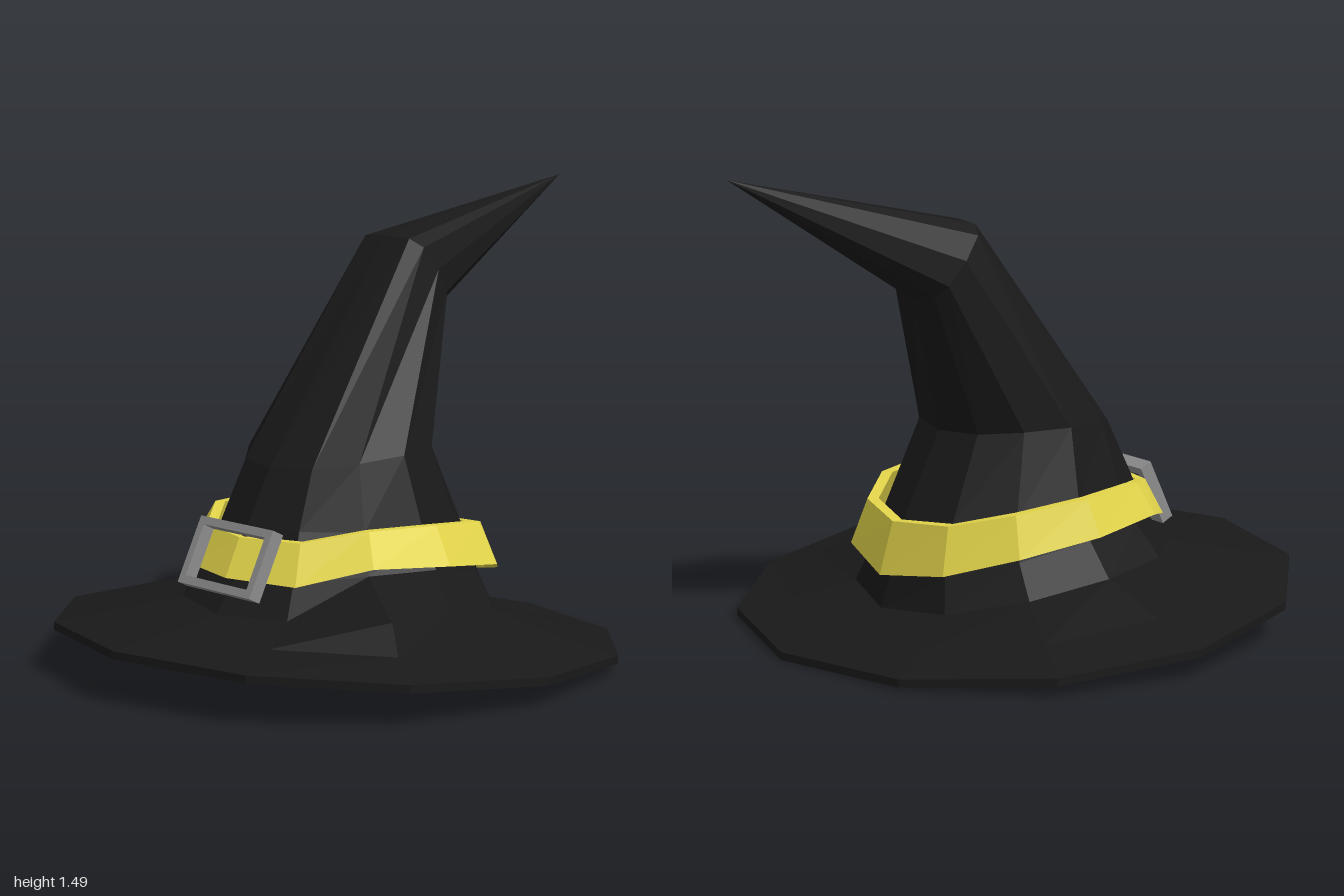
import * as THREE from 'three';

const SIDES = 12;
const mat = (color) => new THREE.MeshStandardMaterial({ color, flatShading: true });

// Ring of points given by its front [z, y], back [z, y], centre x, half width,
// side lift and roundness (1 is an ellipse, lower is boxier).
function ring([fz, fy], [bz, by], cx, rx, lift = 0, round = 1) {
  const soften = (v) => Math.sign(v) * Math.abs(v) ** round;
  return Array.from({ length: SIDES }, (_, k) => {
    const a = (k / SIDES) * Math.PI * 2;
    const s = soften(Math.sin(a)), c = soften(Math.cos(a));
    return new THREE.Vector3(
      cx + rx * s,
      (fy + by) / 2 + ((fy - by) / 2) * c + lift * s * s,
      (fz + bz) / 2 + ((fz - bz) / 2) * c
    );
  });
}

// Skin over successive rings.
function loft(rings) {
  const pos = [];
  const tri = (a, b, c) => {
    if (a.distanceTo(b) < 1e-5 || b.distanceTo(c) < 1e-5 || c.distanceTo(a) < 1e-5) return;
    for (const p of [a, b, c]) pos.push(p.x, p.y, p.z);
  };
  for (let i = 0; i + 1 < rings.length; i++) {
    const a = rings[i], b = rings[i + 1];
    for (let k = 0; k < SIDES; k++) {
      const n = (k + 1) % SIDES;
      tri(a[k], a[n], b[n]);
      tri(a[k], b[n], b[k]);
    }
  }
  const g = new THREE.BufferGeometry();
  g.setAttribute('position', new THREE.Float32BufferAttribute(pos, 3));
  g.computeVertexNormals();
  return g;
}

function makeHat() {
  // dent pushed out on the left front, inside and out
  const dent = (pts, x, y, z) => {
    pts[2].add(new THREE.Vector3(x, y, z));
    return pts;
  };
  return loft([
    // hollow inside, from its top down
    ring([-0.5, 1.32], [-0.5, 1.32], -0.08, 0),
    ring([-0.21, 1.27], [-0.35, 1.09], -0.1, 0.135, 0.01, 0.65),
    ring([0.32, 0.62], [-0.215, 0.64], -0.035, 0.27, 0.03, 0.92),
    ring([0.425, 0.44], [-0.345, 0.37], -0.03, 0.335, 0.02),
    ring([0.495, 0.28], [-0.39, 0.18], -0.015, 0.39, 0.08),
    dent(ring([0.575, 0.185], [-0.415, 0.08], 0, 0.465, 0.06), 0.12, 0.02, 0.05),
    // brim: underside, rim, top
    ring([0.76, 0.14], [-0.61, 0.035], 0, 0.67, 0.01),
    ring([1.0, 0.138], [-0.81, 0], 0, 0.91),
    ring([1.0, 0.163], [-0.81, 0.025], 0, 0.91),
    dent(ring([0.8, 0.185], [-0.63, 0.05], 0, 0.72, 0.025), 0.03, 0, 0.02),
    dent(ring([0.6, 0.21], [-0.44, 0.1], 0, 0.49, 0.06), 0.14, 0.02, 0.06),
    // crown up to the bent tip
    ring([0.52, 0.3], [-0.415, 0.2], -0.015, 0.415, 0.08),
    ring([0.45, 0.46], [-0.37, 0.38], -0.03, 0.36, 0.02),
    ring([0.35, 0.63], [-0.24, 0.65], -0.035, 0.295, 0.03, 0.92),
    ring([-0.21, 1.32], [-0.38, 1.09], -0.1, 0.16, 0.01, 0.65),
    ring([-1, 1.49], [-1, 1.49], -0.06, 0),
  ]);
}

function makeBand() {
  // heights from front to back
  const low = [0.315, 0.315, 0.37, 0.35, 0.31, 0.25, 0.21];
  const high = [0.43, 0.435, 0.47, 0.465, 0.44, 0.4, 0.38];
  const edge = (f, b, cx, rx, ys) => {
    const pts = ring([f, 0], [b, 0], cx, rx, 0, 0.9);
    pts.forEach((p, k) => { p.y = ys[Math.min(k, SIDES - k)]; });
    return pts;
  };
  const outerLow = edge(0.555, -0.45, -0.01, 0.47, low);
  return loft([
    outerLow,
    edge(0.485, -0.41, -0.025, 0.41, high),
    edge(0.455, -0.375, -0.025, 0.375, high),
    edge(0.52, -0.41, -0.01, 0.43, low),
    outerLow,
  ]);
}

// Rectangular frame
function makeBuckle() {
  const rect = (T, w, h) => {
    const s = new T();
    s.moveTo(-w, -h); s.lineTo(w, -h); s.lineTo(w, h); s.lineTo(-w, h); s.closePath();
    return s;
  };
  const shape = rect(THREE.Shape, 0.17, 0.11);
  shape.holes.push(rect(THREE.Path, 0.144, 0.084));
  const g = new THREE.ExtrudeGeometry(shape, { depth: 0.045, bevelEnabled: false });
  g.translate(0, 0, -0.0225);
  return g;
}

export function createModel() {
  const group = new THREE.Group();
  group.name = 'pointedHat';
  const add = (name, geometry, color) => {
    const m = new THREE.Mesh(geometry, mat(color));
    m.name = name;
    group.add(m);
    return m;
  };
  add('hatCrownAndBrim', makeHat(), 0x191919);
  add('hatBand', makeBand(), 0xe2d44a);
  const buckle = add('buckle', makeBuckle(), 0x8c8c8c);
  buckle.position.set(-0.03, 0.367, 0.52);
  buckle.rotation.x = -0.46;
  return group;
}
